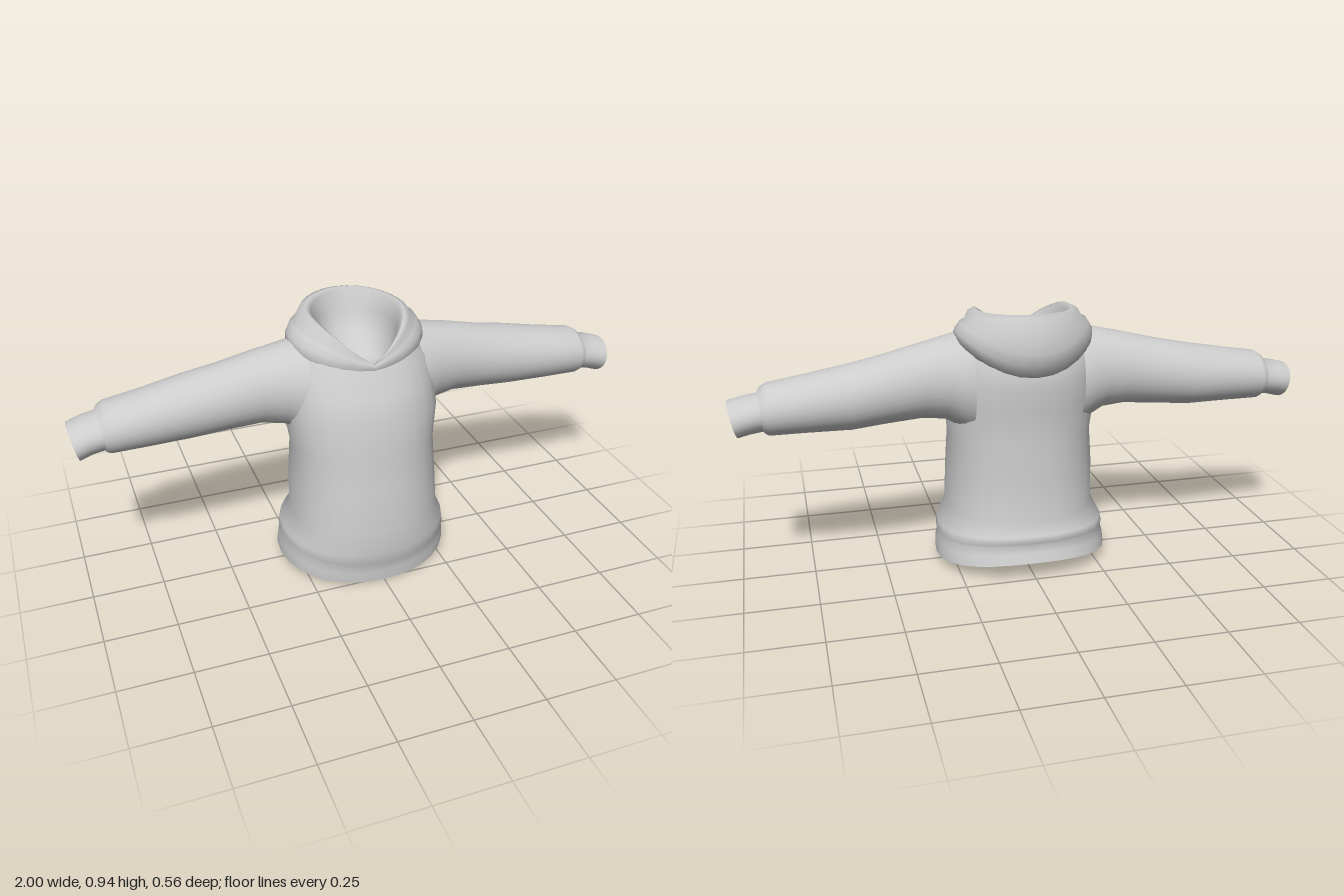
import * as THREE from 'three';

const SEGMENTS = 28;

// Skins a list of closed cross-sections; point(ring, angle) gives one vertex.
function loft(name, material, rings, point) {
  const positions = [], index = [];
  rings.forEach((ring, i) => {
    for (let j = 0; j < SEGMENTS; j++) {
      positions.push(...point(ring, (j / SEGMENTS) * Math.PI * 2));
      if (i === rings.length - 1) continue;
      const k = (j + 1) % SEGMENTS;
      const a = i * SEGMENTS + j, b = i * SEGMENTS + k;
      const c = a + SEGMENTS, d = b + SEGMENTS;
      index.push(a, b, c, b, d, c);
    }
  });
  const geometry = new THREE.BufferGeometry();
  geometry.setAttribute('position', new THREE.Float32BufferAttribute(positions, 3));
  geometry.setIndex(index);
  geometry.computeVertexNormals();
  const mesh = new THREE.Mesh(geometry, material);
  mesh.name = name;
  return mesh;
}

// Rounded-square sine or cosine; power below 1 squares the section off.
const round = (v, power) => Math.sign(v) * Math.abs(v) ** power;

// Horizontal section: heights at front, side and back, half width, front and back z.
// A vee section drops sharply at the front, like a neckline.
function levelPoint(vee, power) {
  return ([yFront, ySide, yBack, halfWidth, zFront, zBack], angle) => {
    const s = Math.sin(angle), c = Math.cos(angle);
    const end = c > 0 ? yFront : yBack;
    const blend = vee && c > 0 ? 1 - Math.abs(s) : c * c;
    return [
      halfWidth * round(s, power),
      ySide + (end - ySide) * blend,
      (zFront + zBack) / 2 + ((zFront - zBack) / 2) * round(c, power),
    ];
  };
}

// Upright section along the arm: x, top y, bottom y, front z, back z, slant of the end.
function sleevePoint(side) {
  return ([x, top, bottom, zFront, zBack, slant = 0], angle) => {
    const c = Math.cos(angle), s = Math.sin(angle) * side;
    return [
      side * (x + slant * (c - 1) / 2),
      (top + bottom) / 2 + ((top - bottom) / 2) * c,
      (zFront + zBack) / 2 + ((zFront - zBack) / 2) * s,
    ];
  };
}

export function createModel() {
  const model = new THREE.Group();
  model.name = 'hoodedSweater';
  const fabric = new THREE.MeshStandardMaterial({ color: 0xcccccc, side: THREE.DoubleSide });
  fabric.name = 'grey fabric';

  // Torso with a hem band at the bottom and a slight blouse above it
  model.add(loft('torso', fabric, [
    [0.0, 0.03, 0.065, 0.312, 0.262, -0.258],
    [0.04, 0.07, 0.1, 0.31, 0.265, -0.246],
    [0.075, 0.105, 0.125, 0.3, 0.264, -0.238],
    [0.082, 0.115, 0.137, 0.306, 0.275, -0.248],
    [0.13, 0.145, 0.162, 0.3, 0.278, -0.247],
    [0.23, 0.21, 0.2, 0.268, 0.279, -0.216],
    [0.37, 0.35, 0.35, 0.264, 0.257, -0.217],
    [0.5, 0.48, 0.48, 0.256, 0.24, -0.201],
    [0.63, 0.6, 0.6, 0.272, 0.225, -0.208],
    [0.7, 0.7, 0.68, 0.265, 0.192, -0.214],
    [0.76, 0.79, 0.75, 0.245, 0.165, -0.21],
    [0.8, 0.85, 0.79, 0.2, 0.142, -0.18],
  ], levelPoint(false, 0.9)));

  // Sleeves, ending in a narrow cuff
  for (const [name, side] of [['leftSleeve', 1], ['rightSleeve', -1]]) {
    model.add(loft(name, fabric, [
      [0.19, 0.86, 0.5, 0.115, -0.18],
      [0.235, 0.853, 0.53, 0.1, -0.175],
      [0.28, 0.843, 0.557, 0.085, -0.167],
      [0.36, 0.826, 0.568, 0.065, -0.163],
      [0.48, 0.797, 0.56, 0.055, -0.165],
      [0.6, 0.773, 0.55, 0.05, -0.174],
      [0.75, 0.745, 0.55, 0.05, -0.161],
      [0.87, 0.725, 0.55, 0.047, -0.155],
      [0.892, 0.712, 0.557, 0.043, -0.15, 0.01],
      [0.903, 0.692, 0.566, 0.034, -0.141, 0.015],
      [0.95, 0.684, 0.559, 0.035, -0.139, 0.02],
      [1.0, 0.67, 0.547, 0.038, -0.13, 0.03],
    ], sleevePoint(side)));
  }

  // Hood lying folded down: up the outside, over the rim and into the bowl
  model.add(loft('hood', fabric, [
    [0.78, 0.81, 0.73, 0.225, 0.148, -0.2],
    [0.79, 0.84, 0.735, 0.242, 0.152, -0.245],
    [0.798, 0.865, 0.78, 0.237, 0.152, -0.266],
    [0.803, 0.893, 0.82, 0.218, 0.15, -0.276],
    [0.802, 0.898, 0.87, 0.203, 0.146, -0.266],
    [0.805, 0.925, 0.938, 0.187, 0.148, -0.25],
    [0.805, 0.936, 0.945, 0.165, 0.143, -0.228],
    [0.8, 0.922, 0.935, 0.147, 0.137, -0.214],
    [0.788, 0.87, 0.87, 0.135, 0.13, -0.2],
    [0.765, 0.8, 0.8, 0.12, 0.115, -0.165],
    [0.735, 0.745, 0.745, 0.08, 0.08, -0.1],
    [0.725, 0.725, 0.725, 0, 0, 0],
  ], levelPoint(true, 0.97)));

  return model;
}
